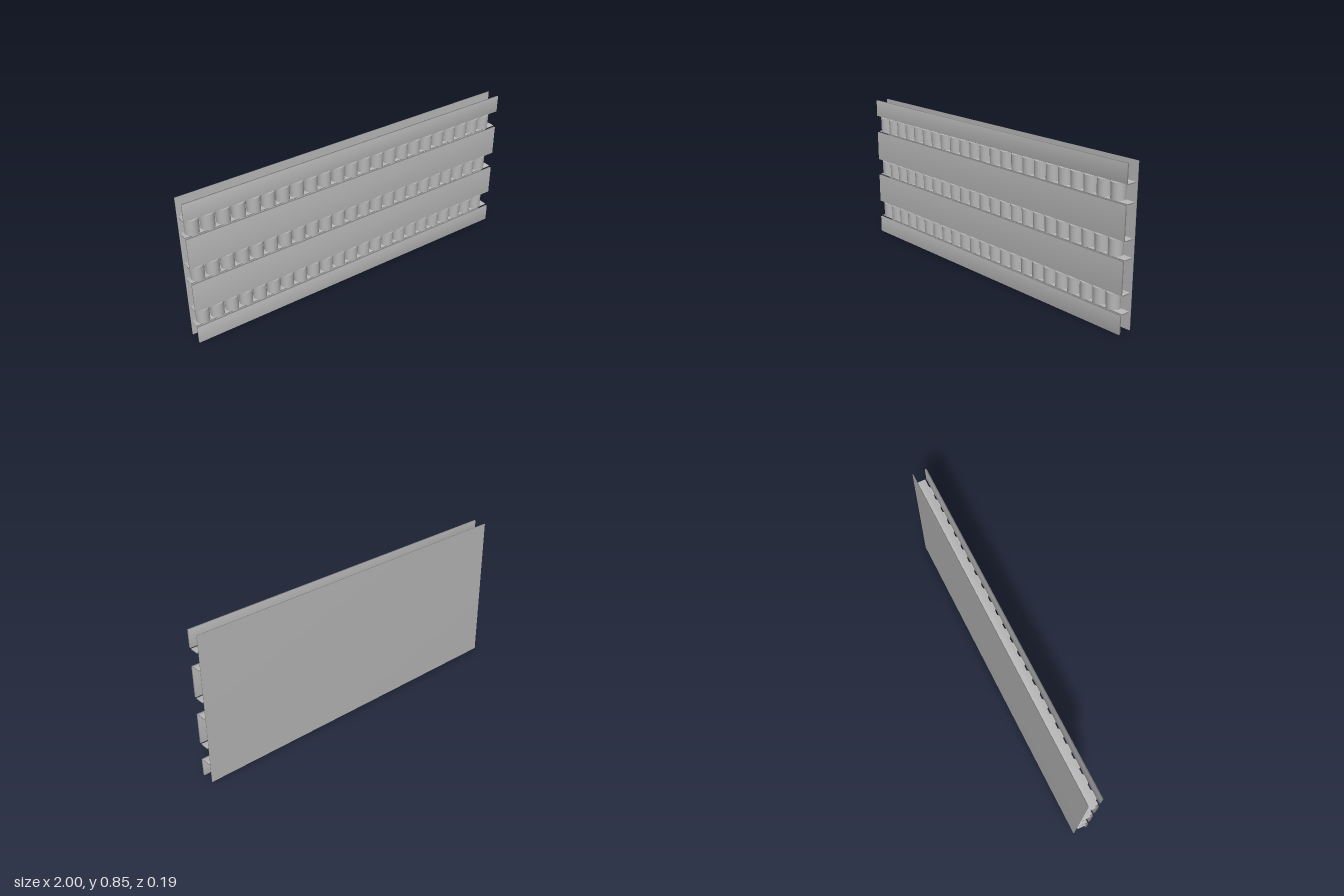
import * as THREE from 'three';
import { mergeVertices } from 'three/addons/utils/BufferGeometryUtils.js';

const LENGTH = 1.997;
const ROLLERS = 23;

export function createModel() {
  const model = new THREE.Group();
  model.name = 'rollerPanel';
  const grey = new THREE.MeshStandardMaterial({ color: 0xb8b8b8 });
  grey.name = 'plain grey';

  // The whole panel stands slightly turned about the vertical axis
  const panel = new THREE.Group();
  panel.name = 'panel';
  panel.rotation.y = -0.0525;
  model.add(panel);

  // Full-length sheet with normals shared around its corners
  function sheet(name, y0, y1, z0, z1) {
    let geo = new THREE.BoxGeometry(LENGTH, y1 - y0, z1 - z0);
    geo.deleteAttribute('normal');
    geo.deleteAttribute('uv');
    geo = mergeVertices(geo);
    geo.computeVertexNormals();
    const mesh = new THREE.Mesh(geo, grey);
    mesh.name = name;
    mesh.position.set(0, (y0 + y1) / 2, (z0 + z1) / 2);
    panel.add(mesh);
  }

  // Back plate
  sheet('backPlate', 0, 0.85, -0.0405, -0.0355);

  // Front slats, with three open rows between them
  const slats = [[0, 0.099], [0.203, 0.375], [0.477, 0.65], [0.754, 0.85]];
  for (const [y0, y1] of slats) sheet('frontSlat', y0, y1, 0.0325, 0.0425);

  // Each row: a rail above and below, and a line of upright rollers
  const rollerGeo = new THREE.CylinderGeometry(0.038, 0.0365, 0.086, 24);
  for (let row = 0; row < 3; row++) {
    const bottom = slats[row][1];
    const top = slats[row + 1][0];
    sheet('lowerRail', bottom, bottom + 0.006, -0.0225, 0.0255);
    sheet('upperRail', top - 0.007, top, -0.0225, 0.0255);
    for (let i = 0; i < ROLLERS; i++) {
      const roller = new THREE.Mesh(rollerGeo, grey);
      roller.name = 'roller';
      roller.position.set(-0.947 + i * 0.0849, (bottom + top) / 2, 0.003);
      panel.add(roller);
    }
  }
  return model;
}
